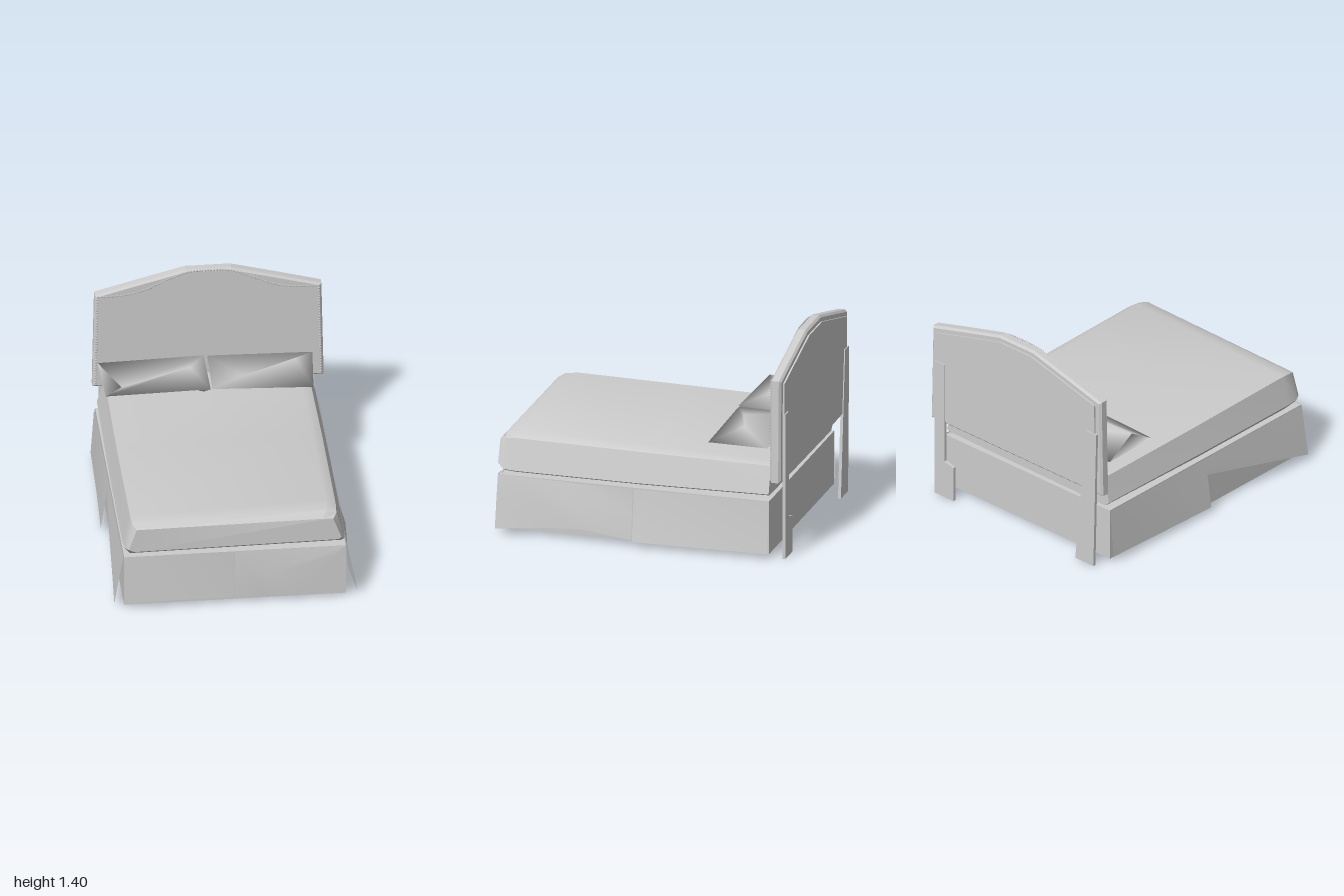
import * as THREE from 'three';
import { toCreasedNormals, mergeGeometries } from 'three/addons/utils/BufferGeometryUtils.js';

const linen = new THREE.MeshStandardMaterial({ color: 0xcccccc, side: THREE.DoubleSide });
linen.name = 'plain linen grey';

function add(parent, name, geometry, x = 0, y = 0, z = 0) {
  const mesh = new THREE.Mesh(geometry, linen);
  mesh.name = name;
  mesh.position.set(x, y, z);
  parent.add(mesh);
  return mesh;
}

// Indexed surface from points and faces; faces with more corners become fans
function surface(points, faces) {
  const g = new THREE.BufferGeometry();
  g.setAttribute('position', new THREE.Float32BufferAttribute(points.flat(), 3));
  const index = [];
  for (const f of faces) for (let i = 1; i < f.length - 1; i++) index.push(f[0], f[i], f[i + 1]);
  g.setIndex(index);
  g.computeVertexNormals();
  return g;
}

// Cloth strip between rows of points with equal counts, top row first
function sheet(...rows) {
  const n = rows[0].length, faces = [];
  for (let r = 0; r < rows.length - 1; r++)
    for (let i = 0; i < n - 1; i++) {
      const a = r * n + i;
      faces.push([a, a + n, a + n + 1, a + 1]);
    }
  return surface(rows.flat(), faces);
}

// Closed loft through rings of equal size, listed back to front
function loft(rings, crease) {
  const n = rings[0].length, faces = [];
  for (let r = 0; r < rings.length - 1; r++)
    for (let i = 0; i < n; i++) {
      const j = (i + 1) % n, a = r * n;
      faces.push([a + i, a + j, a + n + j, a + n + i]);
    }
  const ids = [...Array(n).keys()];
  faces.push([...ids].reverse(), ids.map(i => i + (rings.length - 1) * n));
  return toCreasedNormals(surface(rings.flat(), faces), crease);
}

function extrude(points, depth, bevel = 0) {
  const shape = new THREE.Shape(points.map(p => new THREE.Vector2(...p)));
  return new THREE.ExtrudeGeometry(shape, {
    depth, bevelEnabled: bevel > 0, bevelThickness: bevel, bevelSize: bevel,
    bevelOffset: -bevel, bevelSegments: 1
  });
}

function makeHeadboard() {
  const g = new THREE.Group();
  g.name = 'headboard';
  const outline = [[-0.75, 0.54], [0.77, 0.54], [0.755, 1.24], [0.48, 1.315], [0.16, 1.4],
    [-0.14, 1.4], [-0.46, 1.315], [-0.735, 1.24]];
  add(g, 'paddedPanel', extrude(outline, 0.045, 0.014), 0, 0, -0.968);
  const back = [[-0.70, 0.57], [0.72, 0.57], [0.71, 1.21], [0.15, 1.36], [-0.13, 1.36], [-0.69, 1.21]];
  add(g, 'backPanel', extrude(back, 0.012), 0, 0, -0.993);

  // Row of studs following the curved top and straight sides
  const top = new THREE.CatmullRomCurve3([[-0.715, 1.23], [-0.53, 1.237], [-0.4, 1.27], [-0.26, 1.335],
    [-0.13, 1.385], [0.01, 1.393], [0.15, 1.385], [0.28, 1.335], [0.42, 1.27], [0.55, 1.237], [0.735, 1.23]]
    .map(([x, y]) => new THREE.Vector3(x, y, -0.91)));
  const spots = top.getSpacedPoints(80);
  for (let i = 1; i <= 33; i++) {
    const y = 1.23 - i * 0.02;
    spots.push(new THREE.Vector3(-0.717 - i * 0.0004, y, -0.91), new THREE.Vector3(0.737 + i * 0.0004, y, -0.91));
  }
  const studs = spots.map(p => new THREE.SphereGeometry(0.008, 6, 4).scale(1, 1, 0.6).translate(p.x, p.y, p.z));
  add(g, 'studs', mergeGeometries(studs));

  // Back legs: one with a stepped foot, one tapering
  add(g, 'leftLeg', extrude([[0.715, 0], [0.715, 1], [0.63, 1], [0.63, 0.27], [0.55, 0.25], [0.55, 0]], 0.02), 0, 0, -1);
  add(g, 'rightLeg', extrude([[-0.69, 0], [-0.53, 0], [-0.625, 1], [-0.715, 1]], 0.02), 0, 0, -1);
  return g;
}

function makeBase() {
  const g = new THREE.Group();
  g.name = 'base';
  const y = 0.208, h = 0.365, t = 0.015;
  for (const [name, x] of [['leftRail', 0.713], ['rightRail', -0.728]])
    add(g, name, new THREE.BoxGeometry(t, h, 1.85), x, y, 0.035);
  for (const [name, z] of [['frontRail', 0.953], ['backRail', -0.883]])
    add(g, name, new THREE.BoxGeometry(1.44, h, t), -0.0075, y, z);
  add(g, 'platform', new THREE.BoxGeometry(1.43, 0.015, 1.83), -0.0075, 0.382, 0.035);
  return g;
}

function makeSkirt() {
  const g = new THREE.Group();
  g.name = 'bedSkirt';
  add(g, 'frontRightPanel', sheet(
    [[-0.735, 0.392, 0.963], [-0.45, 0.39, 0.965], [-0.015, 0.388, 0.963]],
    [[-0.735, 0.035, 0.972], [-0.45, 0.06, 0.995], [-0.022, 0.045, 0.972]]));
  // Front panel with one corner folded inward
  add(g, 'frontLeftPanel', surface(
    [[-0.008, 0.388, 0.963], [0.715, 0.39, 0.963], [0.66, 0.33, 0.968], [0.41, 0.04, 0.99],
      [0.195, 0.04, 0.97], [0.195, 0.215, 0.992], [-0.012, 0.04, 0.972]],
    [[0, 5, 1], [1, 5, 2], [5, 3, 2], [5, 4, 3], [0, 6, 4, 5]]));
  add(g, 'leftFrontPanel', sheet(
    [[0.73, 0.392, 0.96], [0.73, 0.39, 0.68], [0.73, 0.385, 0.45], [0.73, 0.385, 0.04]],
    [[0.765, 0.22, 0.96], [0.75, 0.24, 0.68], [0.77, 0.25, 0.45], [0.74, 0.21, 0.04]],
    [[0.797, 0.04, 0.96], [0.76, 0.06, 0.68], [0.785, 0.09, 0.4], [0.76, 0.04, 0.04]]));
  add(g, 'leftRearPanel', sheet(
    [[0.73, 0.385, 0.03], [0.73, 0.39, -0.89]],
    [[0.795, 0.04, 0.025], [0.755, 0.035, -0.89]]));
  add(g, 'rightFrontPanel', sheet(
    [[-0.742, 0.39, 0.03], [-0.742, 0.392, 0.96]],
    [[-0.755, 0.27, 0.03], [-0.8, 0.04, 0.96]]));
  add(g, 'rightRearPanel', sheet(
    [[-0.742, 0.39, -0.89], [-0.742, 0.39, -0.42], [-0.742, 0.388, 0.03]],
    [[-0.765, 0.05, -0.89], [-0.775, 0.04, -0.42], [-0.793, 0.04, 0.03]]));
  return g;
}

// Mattress sections rise gently toward the front, then round over
function makeMattress() {
  const section = (z, lift, inset, foot) => [
    [-0.70 + inset, 0.398 + foot, z], [0.70 - inset, 0.412 + foot, z], [0.722 - inset, 0.425 + foot, z],
    [0.668 - inset, 0.615 + lift * 0.4, z], [0.60 - inset, 0.63 + lift, z],
    [-0.685 + inset, 0.61 + lift * 0.5, z], [-0.735 + inset, 0.44 + foot * 0.3, z]];
  return loft([section(-0.885, 0, 0.01, 0.01), section(0, 0.023, 0, 0), section(0.84, 0.046, 0, 0),
    section(0.93, 0.025, 0.006, 0.004), section(0.97, -0.02, 0.03, 0.035)], 0.7);
}

// Pillow: four corners around a raised ridge and a low belly
function makePillow(corners, ridge, belly) {
  const faces = [];
  const [b0, b1] = [6, 7];
  const side = (p, q, flip) => [[0, 1, q, p], [1, 2, q], [2, 3, p, q], [3, 0, p]]
    .forEach(f => faces.push(flip ? f : [...f].reverse()));
  side(4, 5, true);
  side(b0, b1, false);
  const geo = surface([...corners, ...ridge, ...belly], faces);
  return geo;
}

export function createModel() {
  const bed = new THREE.Group();
  bed.name = 'bed';
  bed.add(makeHeadboard(), makeBase(), makeSkirt());
  add(bed, 'mattress', makeMattress());
  // Corners run front-outer, front-inner, back-inner, back-outer as seen from above
  add(bed, 'rightPillow', makePillow(
    [[-0.71, 0.745, -0.46], [-0.02, 0.76, -0.455], [-0.025, 0.76, -0.875], [-0.72, 0.745, -0.875]],
    [[-0.6, 0.765, -0.53], [-0.14, 0.828, -0.63]],
    [[-0.45, 0.725, -0.7], [-0.06, 0.71, -0.51]]));
  add(bed, 'leftPillow', makePillow(
    [[-0.01, 0.757, -0.46], [0.655, 0.735, -0.455], [0.69, 0.745, -0.87], [0.0, 0.757, -0.875]],
    [[0.2, 0.785, -0.56], [0.555, 0.83, -0.67]],
    [[0.08, 0.705, -0.77], [0.5, 0.72, -0.6]]));
  return bed;
}
